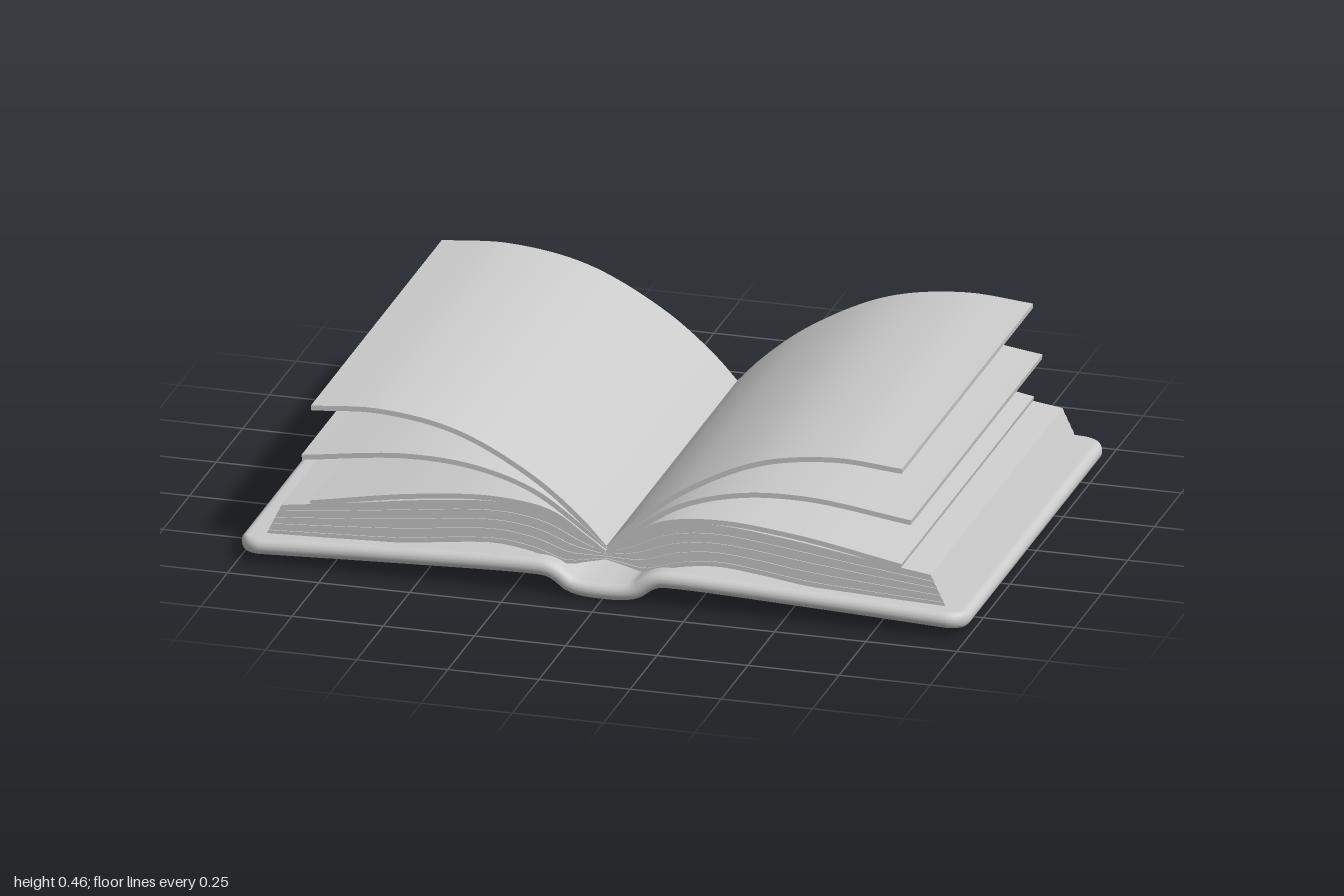
import * as THREE from 'three';
import { toCreasedNormals } from 'three/addons/utils/BufferGeometryUtils.js';

const paper = new THREE.MeshStandardMaterial({ color: 0xcccccc });
paper.name = 'light grey';

const spline = (pts) =>
  new THREE.CatmullRomCurve3(pts.map(([x, y]) => new THREE.Vector3(x, y, 0)), false, 'centripetal');

// Prism along z from an outline in x and y, on the given side (+1 or -1)
function prism(name, outline, side, halfDepth) {
  const shape = new THREE.Shape(outline.map((p) => new THREE.Vector2(p.x * side, p.y)));
  const geo = new THREE.ExtrudeGeometry(shape, { depth: halfDepth * 2, bevelEnabled: false });
  geo.translate(0, 0, -halfDepth);
  const mesh = new THREE.Mesh(toCreasedNormals(geo, 0.5), paper);
  mesh.name = name;
  return mesh;
}

// Rounded board swept along the cover's line, with rounded corners and edges
function coverGeometry() {
  const half = [[0.05, 0.025], [0.09, 0.034], [0.12, 0.056], [0.15, 0.07], [0.2, 0.073], [0.6, 0.06], [1, 0.043]];
  const curve = spline([...half.map(([x, y]) => [-x, y]).reverse(), [0, 0.023], ...half]);
  curve.arcLengthDivisions = 1000;
  const length = curve.getLength();
  const corner = 0.065, thick = 0.023, halfZ = 0.67, arc = 8;

  // Distances along the line, closer together at both ends
  const ends = [];
  for (let i = 0; i <= 20; i++) ends.push(corner * (1 - Math.cos((i / 20) * Math.PI / 2)));
  const stations = [...ends];
  for (let i = 1; i < 120; i++) stations.push(corner + (length - 2 * corner) * i / 120);
  stations.push(...ends.map((d) => length - d).reverse());

  const positions = [], index = [], ring = 2 * (arc + 1);
  stations.forEach((s, i) => {
    const p = curve.getPointAt(s / length), t = curve.getTangentAt(s / length);
    const d = Math.min(s, length - s);
    const c = Math.max(0, corner - d), e = Math.max(0, thick - d);
    const w = halfZ - corner + Math.sqrt(corner * corner - c * c);
    const h = Math.sqrt(Math.max(0, thick * thick - e * e));
    for (let j = 0; j < ring; j++) {
      const front = j <= arc;
      const a = -Math.PI / 2 + Math.PI * (front ? j : j - 1) / arc;
      const z = (front ? 1 : -1) * (w - h) + h * Math.cos(a);
      const n = h * Math.sin(a);
      positions.push(p.x - t.y * n, p.y + t.x * n, z);
      if (i < stations.length - 1) {
        const q = i * ring + j, r = i * ring + (j + 1) % ring;
        index.push(q, q + ring, r, r, q + ring, r + ring);
      }
    }
  });
  const geo = new THREE.BufferGeometry();
  geo.setAttribute('position', new THREE.Float32BufferAttribute(positions, 3));
  geo.setIndex(index);
  geo.computeVertexNormals();
  return geo;
}

// Page block: thin layers blended between its lower and upper curves
function pageBlock(side) {
  const group = new THREE.Group();
  group.name = side > 0 ? 'leftPageBlock' : 'rightPageBlock';
  const bottom = spline([[0, 0.1], [0.05, 0.088], [0.11, 0.075], [0.2, 0.1], [0.3, 0.113], [0.42, 0.103],
    [0.55, 0.086], [0.75, 0.077], [0.93, 0.071]]).getSpacedPoints(32);
  const top = spline([[0, 0.125], [0.05, 0.15], [0.14, 0.205], [0.22, 0.225], [0.32, 0.23], [0.5, 0.212],
    [0.7, 0.182], [0.89, 0.155]]).getSpacedPoints(32);
  const layers = 9;
  const level = (k) => bottom.map((p, i) => p.clone().lerp(top[i], k / layers));
  for (let k = 0; k < layers; k++) {
    const outline = [...level(k), ...level(k + 1).reverse()];
    group.add(prism('pageLayer', outline, side, k % 2 ? 0.617 : 0.62));
  }
  return group;
}

// Loose page: a thin sheet that follows a curve
function loosePage(points, side, halfDepth) {
  const curve = spline(points), upper = [], lower = [], n = 36, half = 0.007;
  for (let i = 0; i <= n; i++) {
    const p = curve.getPointAt(i / n), t = curve.getTangentAt(i / n);
    const normal = new THREE.Vector3(-t.y, t.x, 0).multiplyScalar(half);
    upper.push(p.clone().add(normal));
    lower.push(p.clone().sub(normal));
  }
  return prism('loosePage', [...upper, ...lower.reverse()], side, halfDepth);
}

export function createModel() {
  const book = new THREE.Group();
  book.name = 'openBook';

  const cover = new THREE.Mesh(coverGeometry(), paper);
  cover.name = 'cover';
  book.add(cover);

  const pages = [
    { z: 0.615, pts: [[0.004, 0.13], [0.07, 0.2], [0.2, 0.305], [0.41, 0.412], [0.62, 0.448], [0.81, 0.437]] },
    { z: 0.617, pts: [[0.004, 0.125], [0.07, 0.182], [0.2, 0.27], [0.36, 0.319], [0.55, 0.33], [0.835, 0.295]] },
    { z: 0.623, pts: [[0.004, 0.12], [0.06, 0.16], [0.15, 0.217], [0.3, 0.239], [0.52, 0.222], [0.81, 0.171]] },
  ];
  for (const side of [1, -1]) {
    book.add(pageBlock(side));
    for (const { z, pts } of pages) book.add(loosePage(pts, side, z));
  }
  return book;
}
